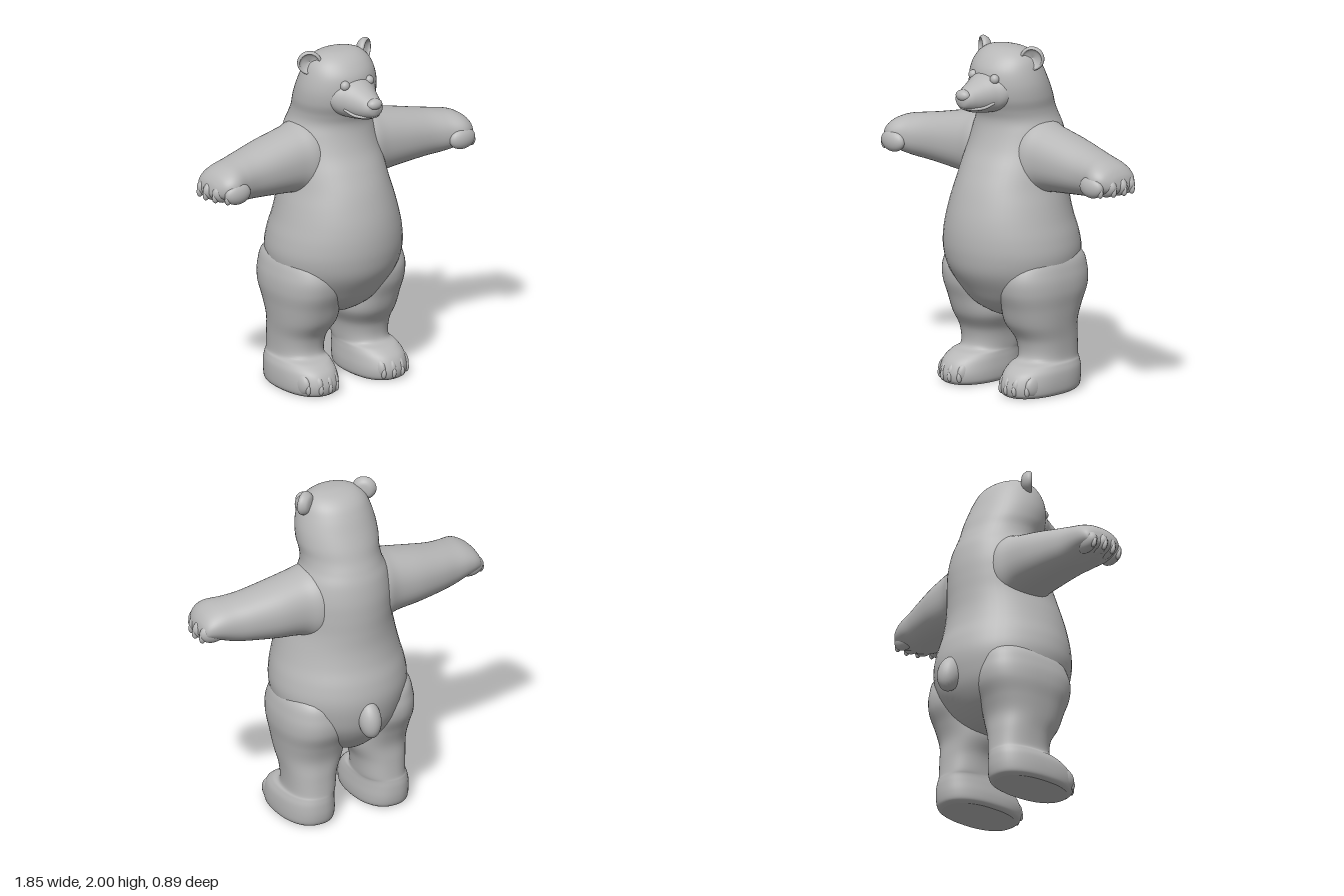
import * as THREE from 'three';

const fur = new THREE.MeshStandardMaterial({ color: 0xb8b8b8 });
fur.name = 'grey';

// Smooth loft. Each row is [t, aMin, aMax, bMin, bMax]; (t, a, b) follow the axes in cyclic order.
function loft(axis, rows, power = 2, steps = 6, sides = 48) {
  const splines = [0, 1, 2, 3, 4].map(k => new THREE.SplineCurve(rows.map((r, i) => new THREE.Vector2(i, r[k]))));
  const n = (rows.length - 1) * steps;
  const pos = [], index = [];
  const put = (t, a, b) => {
    const p = [0, 0, 0];
    p[axis] = t; p[(axis + 1) % 3] = a; p[(axis + 2) % 3] = b;
    pos.push(...p);
  };
  const round = v => Math.sign(v) * Math.abs(v) ** (2 / power);
  const ring = u => {
    const [t, a0, a1, b0, b1] = splines.map(s => s.getPoint(u).y);
    for (let j = 0; j < sides; j++) {
      const th = j / sides * Math.PI * 2;
      put(t, (a0 + a1) / 2 + (a1 - a0) / 2 * round(Math.cos(th)), (b0 + b1) / 2 + (b1 - b0) / 2 * round(Math.sin(th)));
    }
    return [t, (a0 + a1) / 2, (b0 + b1) / 2];
  };
  for (let i = 0; i <= n; i++) ring(i / n);
  for (let i = 0; i < n; i++) for (let j = 0; j < sides; j++) {
    const k = (j + 1) % sides, a = i * sides + j, b = i * sides + k;
    index.push(a, b, b + sides, a, b + sides, a + sides);
  }
  // end caps with their own vertices, so the rims stay crisp
  for (const end of [0, 1]) {
    const base = pos.length / 3;
    put(...ring(end));
    for (let j = 0; j < sides; j++) {
      const a = base + j, b = base + (j + 1) % sides;
      if (end) index.push(a, b, base + sides); else index.push(b, a, base + sides);
    }
  }
  const g = new THREE.BufferGeometry();
  g.setAttribute('position', new THREE.Float32BufferAttribute(pos, 3));
  g.setIndex(index);
  g.computeVertexNormals();
  return g;
}

const ellipsoid = (x, y, z, rx, ry, rz) =>
  new THREE.SphereGeometry(1, 24, 16).scale(rx, ry, rz).translate(x, y, z);

function mirrored(geometry) {
  const g = geometry.clone().scale(-1, 1, 1);
  g.index.array.reverse();
  return g;
}

export function createModel() {
  const model = new THREE.Group();
  const add = (name, geometry) => {
    const mesh = new THREE.Mesh(geometry, fur);
    mesh.name = name;
    model.add(mesh);
  };
  const pair = (name, geometry) => {
    add(name + 'Left', geometry);
    add(name + 'Right', mirrored(geometry));
  };

  // torso, neck and skull in one skin: y, back, front, half width
  const body = [
    [0.40, -0.10, 0.03, 0.02], [0.43, -0.19, 0.13, 0.12], [0.50, -0.27, 0.24, 0.24],
    [0.60, -0.335, 0.315, 0.33], [0.70, -0.365, 0.375, 0.375], [0.80, -0.375, 0.40, 0.395],
    [0.90, -0.36, 0.405, 0.385], [1.00, -0.33, 0.395, 0.36], [1.10, -0.312, 0.372, 0.335],
    [1.20, -0.308, 0.34, 0.31], [1.30, -0.308, 0.295, 0.298], [1.40, -0.303, 0.245, 0.285],
    [1.50, -0.285, 0.213, 0.262], [1.57, -0.26, 0.205, 0.235], [1.63, -0.235, 0.222, 0.229],
    [1.70, -0.21, 0.25, 0.237], [1.78, -0.175, 0.26, 0.233], [1.86, -0.138, 0.25, 0.213],
    [1.92, -0.10, 0.215, 0.185], [1.96, -0.05, 0.17, 0.14], [1.98, 0.01, 0.12, 0.08], [1.985, 0.05, 0.06, 0.005],
  ];
  add('bodyAndHead', loft(1, body.map(([y, b, f, w]) => [y, b, f, -w, w])));

  // legs with feet: y, back, front, inner x, outer x
  pair('leg', loft(1, [
    [0.0, -0.205, 0.265, 0.10, 0.375], [0.02, -0.23, 0.29, 0.08, 0.395], [0.07, -0.24, 0.297, 0.075, 0.40],
    [0.13, -0.24, 0.27, 0.08, 0.395], [0.17, -0.235, 0.215, 0.085, 0.38], [0.20, -0.23, 0.14, 0.085, 0.365],
    [0.30, -0.225, 0.145, 0.07, 0.37], [0.40, -0.225, 0.205, 0.025, 0.385], [0.50, -0.255, 0.24, 0.02, 0.40],
    [0.60, -0.295, 0.275, 0.015, 0.415], [0.70, -0.295, 0.275, 0.035, 0.408], [0.80, -0.25, 0.21, 0.08, 0.37],
    [0.88, -0.06, 0.05, 0.20, 0.25],
  ], 2.3));

  // arms with paws: x, bottom, top, back, front
  pair('arm', loft(0, [
    [0.10, 1.18, 1.52, -0.20, 0.15], [0.20, 1.135, 1.56, -0.22, 0.17], [0.30, 1.165, 1.54, -0.195, 0.16],
    [0.45, 1.182, 1.508, -0.18, 0.155], [0.60, 1.198, 1.475, -0.15, 0.155], [0.70, 1.21, 1.457, -0.125, 0.172],
    [0.79, 1.235, 1.44, -0.107, 0.20], [0.85, 1.255, 1.41, -0.09, 0.18], [0.885, 1.27, 1.37, -0.065, 0.13],
    [0.90, 1.29, 1.33, -0.01, 0.07],
  ], 2.2));

  // fingers and their claws: z, tip x
  [[0.175, 0.868], [0.105, 0.905], [0.035, 0.92], [-0.035, 0.912]].forEach(([z, tip], i) => {
    pair('finger' + (i + 1), ellipsoid(tip - 0.085, 1.305, z, 0.085, 0.062, 0.042));
    pair('fingerClaw' + (i + 1), ellipsoid(tip - 0.018, 1.283, z, 0.022, 0.032, 0.014));
  });

  // toes and their claws, following the rounded front of the foot
  [0.165, 0.222, 0.282, 0.342].forEach((x, i) => {
    const z = 0.028 + 0.266 * (1 - Math.abs((x - 0.238) / 0.162) ** 2.3) ** (1 / 2.3);
    pair('toe' + (i + 1), ellipsoid(x, 0.07, z - 0.065, 0.034, 0.065, 0.072));
    pair('toeClaw' + (i + 1), ellipsoid(x, 0.048, z - 0.002, 0.014, 0.03, 0.016));
  });

  // muzzle: z, half width, bottom, top
  const muzzle = [
    [0.08, 0.17, 1.63, 1.86], [0.20, 0.155, 1.62, 1.86], [0.26, 0.122, 1.622, 1.843], [0.31, 0.098, 1.63, 1.82],
    [0.36, 0.078, 1.642, 1.797], [0.40, 0.063, 1.66, 1.778], [0.425, 0.045, 1.68, 1.765], [0.435, 0.01, 1.71, 1.735],
  ];
  add('muzzle', loft(2, muzzle.map(([z, w, b, t]) => [z, -w, w, b, t])));
  add('nose', ellipsoid(0, 1.747, 0.412, 0.048, 0.033, 0.034));
  add('mouth', new THREE.TubeGeometry(new THREE.CatmullRomCurve3([
    [-0.108, 1.695, 0.27], [-0.083, 1.672, 0.325], [-0.05, 1.668, 0.378], [0, 1.674, 0.412],
    [0.05, 1.668, 0.378], [0.083, 1.672, 0.325], [0.108, 1.695, 0.27],
  ].map(p => new THREE.Vector3(...p))), 32, 0.009, 8));

  pair('eye', ellipsoid(0.084, 1.825, 0.243, 0.028, 0.028, 0.026));

  // cupped ears facing forward and outward
  const earProfile = new THREE.SplineCurve([
    [0.0005, -0.035], [0.045, -0.028], [0.068, -0.002], [0.068, 0.018], [0.057, 0.025], [0.045, 0.01], [0.0005, -0.008],
  ].map(p => new THREE.Vector2(...p)));
  pair('ear', new THREE.LatheGeometry(earProfile.getPoints(24), 32)
    .rotateX(Math.PI / 2).rotateY(0.6).translate(0.187, 1.93, 0.042));

  // stubby tail, leaning back toward its tip
  add('tail', new THREE.SphereGeometry(1, 24, 16).scale(0.065, 0.11, 0.072)
    .rotateX(0.25).translate(0, 0.69, -0.368));

  return model;
}
